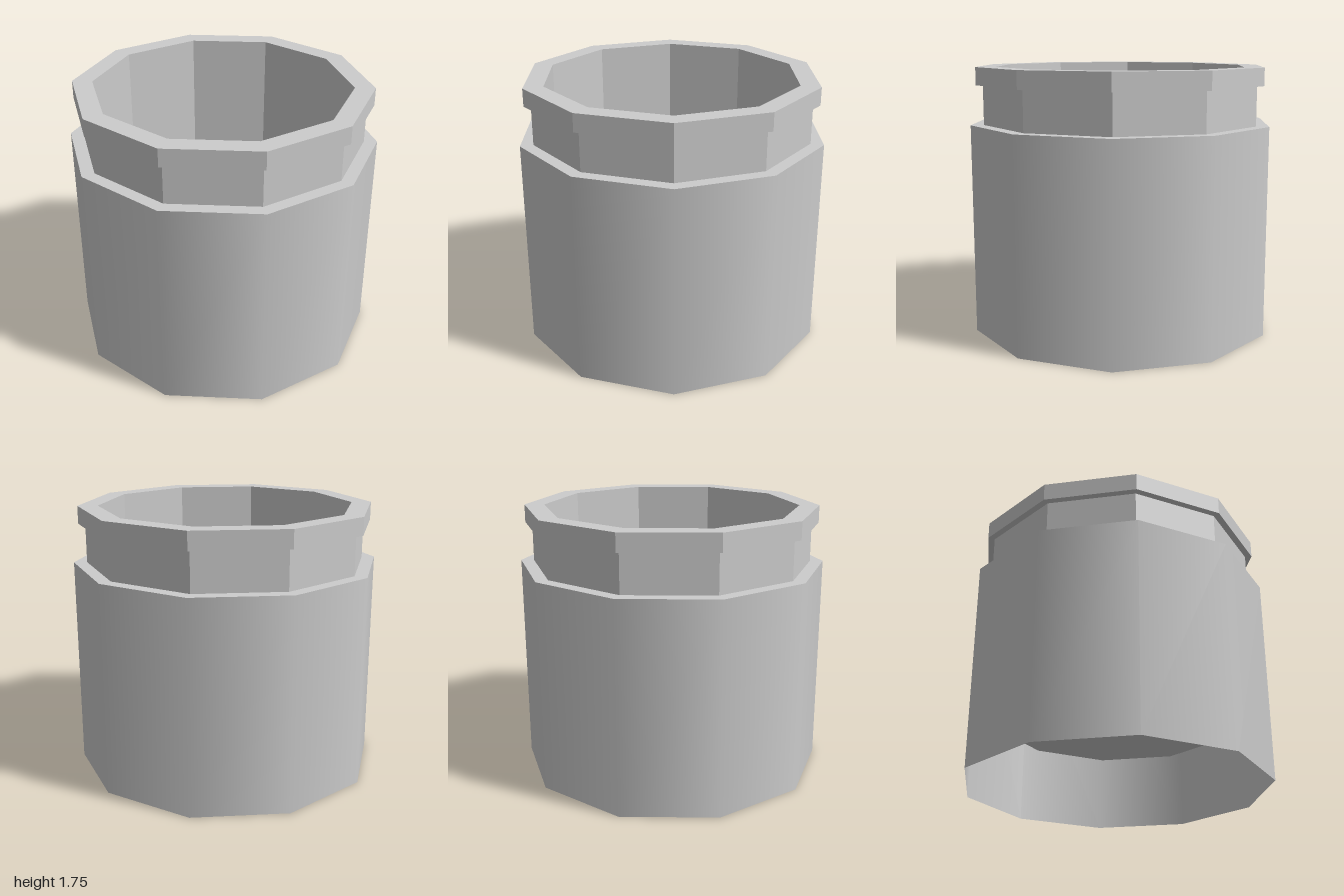
import * as THREE from 'three';

const SIDES = 10;
const START = Math.PI / 2; // puts a corner on +x and -x

export function createModel() {
  const group = new THREE.Group();
  group.name = 'jar';

  const smooth = new THREE.MeshStandardMaterial({ color: 0xcccccc, side: THREE.DoubleSide });
  const faceted = new THREE.MeshStandardMaterial({
    color: 0xcccccc, flatShading: true, side: THREE.DoubleSide,
  });

  const add = (name, geometry, material) => {
    const mesh = new THREE.Mesh(geometry, material);
    mesh.name = name;
    group.add(mesh);
    return mesh;
  };

  // Ten-sided ring swept from a [radius, height] profile
  const ring = (name, profile) => add(
    name,
    new THREE.LatheGeometry(profile.map(([r, y]) => new THREE.Vector2(r, y)), SIDES, START),
    faceted,
  );

  // Thin outer body, open underneath, shaded smooth
  const body = new THREE.CylinderGeometry(1, 1, 1.375, SIDES, 1, true, START);
  add('body', body.translate(0, 0.6875, 0), smooth);

  // Shoulder step and straight neck
  ring('shoulder', [[1, 1.375], [0.915, 1.375]]);
  ring('neck', [[0.915, 1.375], [0.915, 1.63]]);

  // Projecting lip with a flat top
  ring('lip', [[0.915, 1.63], [0.96, 1.63], [0.96, 1.745], [0.83, 1.745]]);

  // Inner wall and the raised floor of the cup
  ring('innerWall', [[0.83, 1.745], [0.83, 0.47]]);
  const floor = new THREE.CircleGeometry(0.83, SIDES).rotateX(-Math.PI / 2);
  add('floor', floor.translate(0, 0.47, 0), faceted);

  return group;
}
